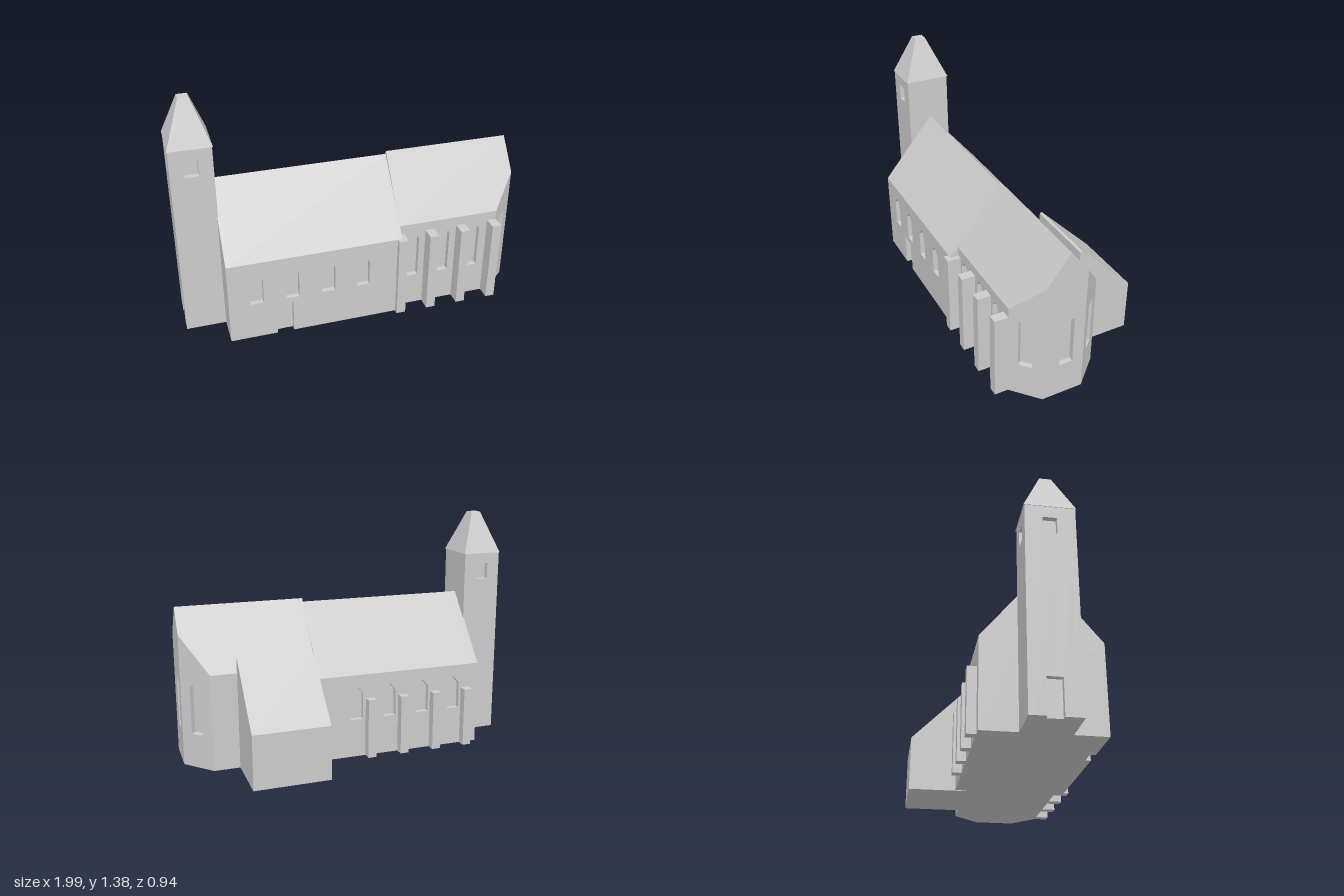
import * as THREE from 'three';

const stone = new THREE.MeshStandardMaterial({ color: 0xcccccc });
stone.name = 'pale stone';
const T = 0.03; // wall thickness, also the depth of window recesses

function add(parent, name, geometry) {
  const mesh = new THREE.Mesh(geometry, stone);
  mesh.name = name;
  parent.add(mesh);
  return mesh;
}

function box(parent, name, x0, x1, y0, y1, z0, z1) {
  const g = new THREE.BoxGeometry(x1 - x0, y1 - y0, z1 - z0);
  g.translate((x0 + x1) / 2, (y0 + y1) / 2, (z0 + z1) / 2);
  return add(parent, name, g);
}

const shapeOf = (pts) => new THREE.Shape(pts.map(([x, y]) => new THREE.Vector2(x, y)));

// Outward normal of the wall from a to b (plan points are [x, z])
function outward(a, b) {
  const dx = b[0] - a[0], dz = b[1] - a[1], l = Math.hypot(dx, dz);
  return [-dz / l, dx / l];
}

// Shrink a convex plan by d
function inset(plan, d) {
  return plan.map((p, i) => {
    const n = outward(plan.at(i - 1), p);
    const m = outward(p, plan[(i + 1) % plan.length]);
    const k = d / (1 + n[0] * m[0] + n[1] * m[1]);
    return [p[0] - (n[0] + m[0]) * k, p[1] - (n[1] + m[1]) * k];
  });
}

// Opening centred at u along a wall; pointed when a peak is given
const opening = (u, w, y0, y1, peak) => [
  [u - w / 2, y0], [u - w / 2, y1], ...(peak ? [[u, peak]] : []), [u + w / 2, y1], [u + w / 2, y0],
];

// Wall panel with recessed openings; those that reach the ground are notches
function wall(parent, name, a, b, top, ridgeZ, openings) {
  const len = Math.hypot(b[0] - a[0], b[1] - a[1]);
  const outline = [[0, 0]];
  openings.filter((o) => o[0][1] === 0).forEach((o) => outline.push(...o));
  outline.push([len, 0], [len, top(b[1])]);
  if ((a[1] - ridgeZ) * (b[1] - ridgeZ) < 0) {
    outline.push([len * (ridgeZ - a[1]) / (b[1] - a[1]), top(ridgeZ)]);
  }
  outline.push([0, top(a[1])]);
  const shape = shapeOf(outline);
  openings.filter((o) => o[0][1] > 0).forEach((o) => shape.holes.push(shapeOf(o)));
  const mesh = add(parent, name, new THREE.ExtrudeGeometry(shape, { depth: T, bevelEnabled: false }));
  const n = outward(a, b);
  mesh.position.set(a[0] - n[0] * T, 0, a[1] - n[1] * T);
  mesh.rotation.y = Math.atan2(a[1] - b[1], b[0] - a[0]);
}

// Walls around a plan, plus a solid core that closes the recesses and the floor
function building(parent, name, plan, top, ridgeZ, coreHeight, openings) {
  const group = new THREE.Group();
  group.name = name;
  parent.add(group);
  plan.forEach((a, i) => {
    wall(group, name + 'Wall', a, plan[(i + 1) % plan.length], top, ridgeZ, openings[i] || []);
  });
  const core = new THREE.ExtrudeGeometry(shapeOf(inset(plan, T).map(([x, z]) => [x, -z])),
    { depth: coreHeight, bevelEnabled: false });
  add(group, name + 'Core', core.rotateX(-Math.PI / 2));
  return group;
}

// One planar roof slope over a plan area
function slope(parent, name, plan, top) {
  const g = new THREE.ShapeGeometry(shapeOf(plan.map(([x, z]) => [x, -z])));
  g.rotateX(-Math.PI / 2);
  const p = g.attributes.position;
  for (let i = 0; i < p.count; i++) p.setY(i, top(p.getZ(i)));
  g.computeVertexNormals();
  add(parent, name, g);
}

export function createModel() {
  const model = new THREE.Group();
  model.name = 'church';

  // Nave
  const naveX = [-0.77, 0.24], naveRidge = 0.12;
  const naveTop = (z) => 0.887 - Math.abs(z - naveRidge) * 1.21;
  const navePlan = [[naveX[0], 0.44], [naveX[1], 0.44], [naveX[1], -0.2], [naveX[0], -0.2]];
  const naveWindows = [-0.61, -0.405, -0.195, 0.01];
  const nave = building(model, 'nave', navePlan, naveTop, naveRidge, 0.49, {
    0: [
      ...naveWindows.map((x) => opening(x - naveX[0], 0.075, 0.23, 0.385, 0.43)),
      opening(-0.4525 - naveX[0], 0.095, 0, 0.195),
    ],
    2: naveWindows.map((x) => opening(naveX[1] - x, 0.075, 0.23, 0.385, 0.43)),
  });
  const naveW = [naveX[0], naveRidge], naveE = [naveX[1], naveRidge];
  slope(nave, 'naveRoofFront', [navePlan[0], navePlan[1], naveE, naveW], naveTop);
  slope(nave, 'naveRoofBack', [naveW, naveE, navePlan[2], navePlan[3]], naveTop);

  // Choir with a three-sided end, its walls rising to the gable roof
  const choirRidge = 0.125;
  const choirTop = (z) => 0.907 - Math.abs(z - choirRidge) * 1.33;
  const choirPlan = [[0.24, 0.39], [0.845, 0.39], [0.99, 0.26], [0.99, 0.02], [0.845, -0.135], [0.24, -0.135]];
  const choir = building(model, 'choir', choirPlan, choirTop, choirRidge, 0.53, {
    0: [0.325, 0.515, 0.705].map((x) => opening(x - 0.24, 0.077, 0.2, 0.455, 0.5)),
    1: [opening(0.095, 0.078, 0.2, 0.487)],
    2: [opening(0.135, 0.08, 0.2, 0.487)],
    3: [opening(0.106, 0.078, 0.2, 0.487)],
  });
  const choirW = [0.24, choirRidge], choirE = [0.99, choirRidge];
  slope(choir, 'choirRoofFront', [...choirPlan.slice(0, 3), choirE, choirW], choirTop);
  slope(choir, 'choirRoofBack', [choirW, choirE, ...choirPlan.slice(3)], choirTop);

  // Buttresses: tall on the choir front, shorter on the nave back
  [0.24, 0.428, 0.62, 0.818].forEach((x) =>
    box(model, 'choirButtress', x - 0.027, x + 0.027, 0, 0.5, 0.375, 0.468));
  [-0.688, -0.482, -0.275, -0.07].forEach((x) =>
    box(model, 'naveButtress', x - 0.026, x + 0.026, 0, 0.355, -0.25, -0.185));

  // Lean-to side room
  const room = new THREE.ExtrudeGeometry(
    shapeOf([[0.125, 0], [0.468, 0], [0.468, 0.315], [0.138, 0.645], [0.125, 0.64]]),
    { depth: 0.44, bevelEnabled: false });
  room.rotateY(Math.PI / 2); // profile runs towards -z
  add(model, 'sideRoom', room.translate(0.255, 0, 0));

  // Tower
  const tx0 = -0.997, tx1 = -0.765, tz0 = -0.004, tz1 = 0.26;
  const bell = (u) => opening(u, 0.075, 0.98, 1.075);
  const tower = building(model, 'tower', [[tx0, tz1], [tx1, tz1], [tx1, tz0], [tx0, tz0]],
    () => 1.14, 9, 1.139, {
      0: [bell(-0.882 - tx0)],
      2: [bell(tx1 + 0.882)],
      3: [bell(0.129), opening(0.129, 0.08, 0, 0.195)],
    });

  // Blunt pyramid spire: a box narrowed at the top
  const spire = new THREE.BoxGeometry(0.24, 0.245, 0.274);
  const p = spire.attributes.position;
  for (let i = 0; i < p.count; i++) {
    if (p.getY(i) > 0) p.setXYZ(i, p.getX(i) * 0.24, p.getY(i), p.getZ(i) * 0.23);
  }
  spire.computeVertexNormals();
  add(tower, 'spire', spire.translate(-0.88, 1.2625, 0.128));

  return model;
}
